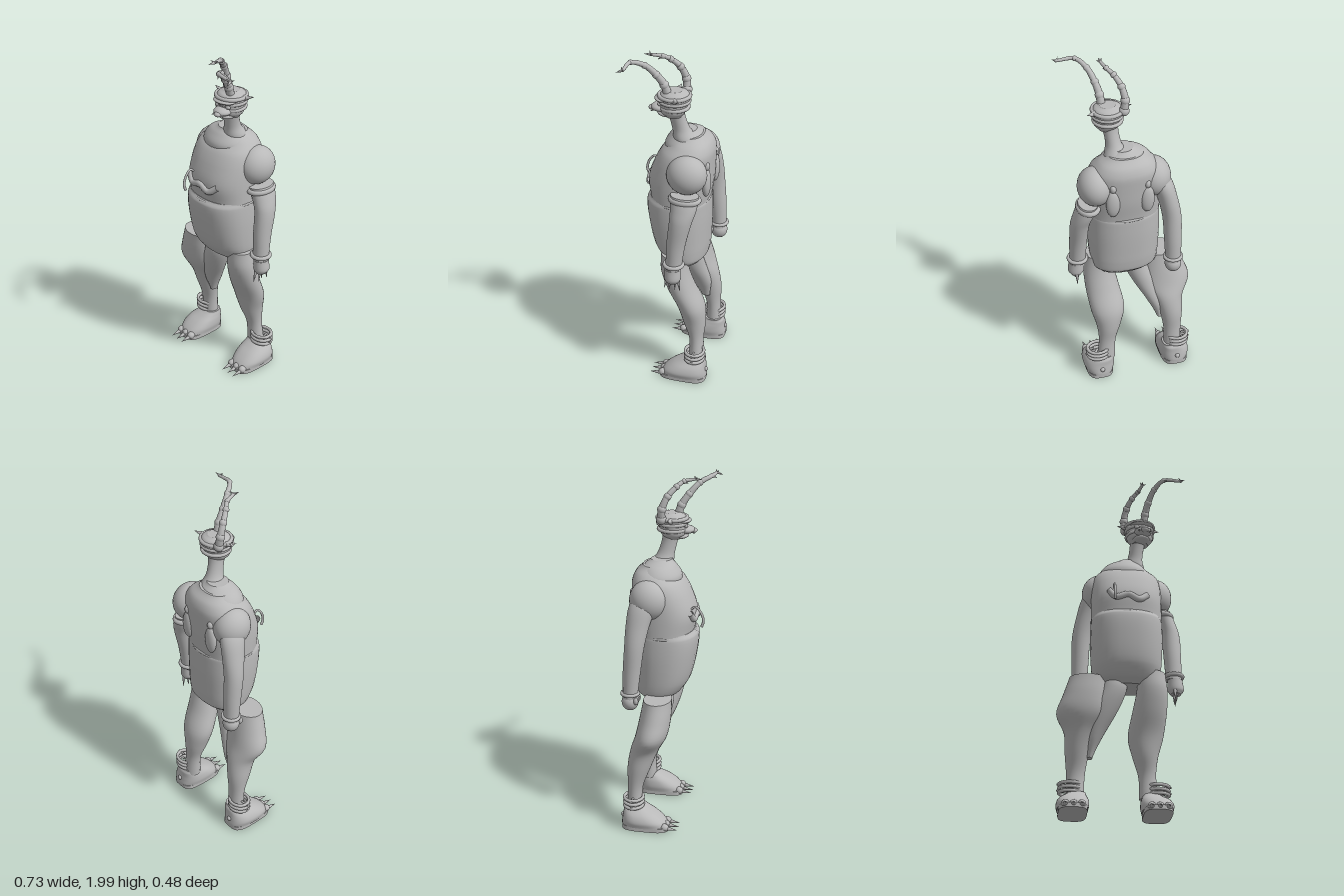
import * as THREE from 'three';

const grey = new THREE.MeshStandardMaterial({ color: 0xb9b9b9, side: THREE.DoubleSide });
grey.name = 'plainGrey';
const V = (p) => new THREE.Vector3(...p);

function add(parent, name, geo, pos = [0, 0, 0], scale = [1, 1, 1], rot = [0, 0, 0]) {
  const m = new THREE.Mesh(geo, grey);
  m.name = name;
  m.position.set(...pos);
  m.scale.set(...scale);
  m.rotation.set(...rot);
  parent.add(m);
  return m;
}
const ball = (parent, name, pos, scale) => add(parent, name, new THREE.SphereGeometry(1, 28, 18), pos, scale);
const ring = (parent, name, pos, rx, rz, t, tilt = 0) =>
  add(parent, name, new THREE.TorusGeometry(1, t / Math.max(rx, rz), 10, 32), pos, [rx, rz, Math.max(rx, rz)], [Math.PI / 2 + tilt, 0, 0]);

// Cone whose tip points along dir, starting at pos
function spike(parent, name, pos, dir, r, len) {
  const d = V(dir).normalize();
  const m = add(parent, name, new THREE.ConeGeometry(r, len, 10), V(pos).addScaledVector(d, len / 2).toArray());
  m.quaternion.setFromUnitVectors(new THREE.Vector3(0, 1, 0), d);
}

// Smooth stack of oval sections [x, y, z, rx, rz], listed from bottom to top, with flat caps
function loft(sections, square = 2, steps = 5, seg = 32) {
  const n = (sections.length - 1) * steps, pos = [], idx = [];
  const mid = new THREE.CatmullRomCurve3(sections.map((s) => V(s.slice(0, 3))), false, 'centripetal');
  const rad = new THREE.SplineCurve(sections.map((s) => new THREE.Vector2(s[3], s[4])));
  const pw = (c) => Math.sign(c) * Math.abs(c) ** (2 / square);
  const section = (i) => {
    const c = mid.getPoint(i / n), r = rad.getPoint(i / n);
    for (let j = 0; j < seg; j++) {
      const a = (j / seg) * Math.PI * 2;
      pos.push(c.x + r.x * pw(Math.cos(a)), c.y, c.z + r.y * pw(Math.sin(a)));
    }
    return c;
  };
  for (let i = 0; i <= n; i++) section(i);
  for (let i = 0; i < n; i++) for (let j = 0; j < seg; j++) {
    const a = i * seg + j, b = i * seg + ((j + 1) % seg);
    idx.push(a, a + seg, b, b, a + seg, b + seg);
  }
  for (const i of [0, n]) {
    const s = pos.length / 3, c = section(i);
    pos.push(c.x, c.y, c.z);
    for (let j = 0; j < seg; j++) {
      const k = s + ((j + 1) % seg);
      idx.push(s + seg, ...(i ? [k, s + j] : [s + j, k]));
    }
  }
  const g = new THREE.BufferGeometry();
  g.setAttribute('position', new THREE.Float32BufferAttribute(pos, 3));
  g.setIndex(idx);
  g.computeVertexNormals();
  return g;
}

// Tube along points whose radius runs from r0 to r1
function taper(points, r0, r1, n = 30, k = 12) {
  const curve = new THREE.CatmullRomCurve3(points.map(V));
  const g = new THREE.TubeGeometry(curve, n, 1, k);
  const p = g.attributes.position, v = new THREE.Vector3();
  for (let i = 0; i < p.count; i++) {
    const t = Math.floor(i / (k + 1)) / n, c = curve.getPointAt(t);
    v.fromBufferAttribute(p, i).sub(c).multiplyScalar(r0 + (r1 - r0) * t).add(c);
    p.setXYZ(i, v.x, v.y, v.z);
  }
  return g;
}

function buildTorso(g) {
  add(g, 'belly', loft([
    [0.03, 0.745, -0.075, 0.15, 0.09], [0.025, 0.775, -0.065, 0.185, 0.125], [0.023, 0.85, -0.045, 0.2, 0.155],
    [0.022, 1.0, -0.03, 0.208, 0.175], [0.022, 1.12, -0.025, 0.206, 0.18], [0.022, 1.15, -0.03, 0.2, 0.165]], 2.3));
  add(g, 'chest', loft([
    [0.022, 1.13, -0.035, 0.204, 0.165], [0.022, 1.25, -0.035, 0.205, 0.18], [0.022, 1.36, -0.055, 0.203, 0.165],
    [0.022, 1.43, -0.075, 0.19, 0.145], [0.022, 1.48, -0.09, 0.15, 0.11], [0.02, 1.52, -0.08, 0.1, 0.08]], 2.3));
  ring(g, 'waistSeam', [0.022, 1.135, -0.03], 0.2, 0.17, 0.008);
  // Draped collar around the neck
  add(g, 'collar', loft([
    [0.015, 1.43, -0.07, 0.15, 0.13], [0.015, 1.47, -0.07, 0.148, 0.125], [0.015, 1.515, -0.065, 0.11, 0.09],
    [0.03, 1.545, -0.06, 0.06, 0.06]]));
  add(g, 'neck', loft([
    [0.065, 1.5, -0.07, 0.07, 0.07], [0.075, 1.56, -0.045, 0.045, 0.05], [0.085, 1.63, -0.025, 0.042, 0.045],
    [0.095, 1.7, -0.01, 0.05, 0.05]]));
  // Raised chest marking and hook
  add(g, 'chestFold', taper([[-0.09, 1.27, 0.125], [-0.05, 1.225, 0.138], [0.02, 1.24, 0.143], [0.08, 1.215, 0.138], [0.13, 1.25, 0.115]], 0.018, 0.02));
  add(g, 'chestHook', taper([[-0.06, 1.285, 0.125], [-0.06, 1.3, 0.15], [-0.06, 1.27, 0.18], [-0.06, 1.22, 0.195], [-0.06, 1.185, 0.185]], 0.006, 0.008));
  // Pair of hanging pods on the back
  for (const x of [-0.075, 0.12]) {
    ball(g, 'backPod', [x, 1.27, -0.2], [0.04, 0.085, 0.025]);
    ball(g, 'backPodBead', [x, 1.37, -0.2], [0.018, 0.025, 0.02]);
  }
}

function buildArms(g) {
  const left = new THREE.Group(), right = new THREE.Group();
  left.name = 'leftArm';
  right.name = 'rightArm';
  g.add(left, right);
  // Left arm with clawed hand
  ball(left, 'shoulder', [0.2, 1.345, -0.11], [0.098, 0.112, 0.113]);
  ring(left, 'shoulderBand', [0.24, 1.215, -0.11], 0.058, 0.078, 0.016);
  add(left, 'arm', loft([
    [0.298, 0.8, -0.062, 0.046, 0.045], [0.294, 0.95, -0.075, 0.05, 0.053], [0.286, 1.1, -0.1, 0.054, 0.064],
    [0.265, 1.17, -0.11, 0.056, 0.074], [0.24, 1.24, -0.11, 0.055, 0.08]]));
  ring(left, 'bracelet', [0.298, 0.825, -0.063], 0.05, 0.05, 0.012);
  add(left, 'hand', loft([[0.308, 0.715, -0.06, 0.03, 0.035], [0.308, 0.74, -0.06, 0.046, 0.046], [0.305, 0.8, -0.06, 0.042, 0.045]]));
  for (let i = 0; i < 4; i++) spike(left, 'claw', [0.3 + 0.01 * (i % 2), 0.73, -0.025 - 0.023 * i], [0, -1, 0.25 - 0.12 * i], 0.011, 0.075);

  // Right arm, swung back, with rounded fist
  ball(right, 'shoulder', [-0.135, 1.35, -0.1], [0.098, 0.115, 0.11]);
  add(right, 'arm', loft([
    [-0.235, 0.8, -0.19, 0.045, 0.042], [-0.233, 0.95, -0.18, 0.05, 0.05], [-0.228, 1.1, -0.165, 0.054, 0.056],
    [-0.205, 1.22, -0.15, 0.056, 0.066], [-0.175, 1.32, -0.13, 0.06, 0.075], [-0.14, 1.4, -0.11, 0.05, 0.06]]));
  ring(right, 'bracelet', [-0.234, 0.825, -0.19], 0.048, 0.046, 0.01);
  ball(right, 'fist', [-0.235, 0.775, -0.19], [0.048, 0.052, 0.048]);
  for (let i = 0; i < 4; i++) ball(right, 'knuckle', [-0.268 + 0.022 * i, 0.79, -0.15], [0.012, 0.022, 0.014]);
}

function buildLegs(g) {
  add(g, 'leftLeg', loft([
    [0.162, 0.12, -0.165, 0.055, 0.045], [0.152, 0.25, -0.16, 0.05, 0.042], [0.14, 0.36, -0.145, 0.072, 0.066],
    [0.14, 0.47, -0.125, 0.1, 0.078], [0.158, 0.6, -0.07, 0.098, 0.08], [0.17, 0.72, -0.035, 0.088, 0.08],
    [0.165, 0.82, -0.03, 0.08, 0.075]]));
  // Right leg: slender inner thigh beside a flared, flat-topped outer leg
  add(g, 'rightThigh', loft([
    [-0.175, 0.34, -0.13, 0.015, 0.025], [-0.155, 0.45, -0.11, 0.045, 0.055], [-0.1, 0.6, -0.07, 0.075, 0.07],
    [-0.05, 0.72, -0.05, 0.075, 0.075], [-0.04, 0.8, -0.05, 0.07, 0.07]]));
  add(g, 'rightLeg', loft([
    [-0.25, 0.12, -0.165, 0.05, 0.045], [-0.25, 0.25, -0.16, 0.052, 0.043], [-0.245, 0.37, -0.14, 0.068, 0.066],
    [-0.232, 0.48, -0.11, 0.09, 0.08], [-0.228, 0.575, -0.07, 0.14, 0.09], [-0.21, 0.68, -0.05, 0.125, 0.088],
    [-0.193, 0.785, -0.04, 0.108, 0.08]]));
  for (const [side, x] of [[1, 0.2], [-1, -0.267]]) {
    const foot = new THREE.Group();
    foot.name = side > 0 ? 'leftFoot' : 'rightFoot';
    foot.position.x = x;
    g.add(foot);
    add(foot, 'sole', loft([[0, 0.005, -0.095, 0.08, 0.138], [0, 0.03, -0.095, 0.08, 0.138]], 3.5));
    add(foot, 'shoe', loft([
      [0, 0.028, -0.1, 0.086, 0.136], [0, 0.06, -0.11, 0.092, 0.123], [-0.005 * side, 0.095, -0.13, 0.084, 0.098],
      [-0.015 * side, 0.125, -0.155, 0.066, 0.07], [-0.025 * side, 0.145, -0.165, 0.052, 0.05]], 2.5));
    ball(foot, 'heelStud', [0, 0.07, -0.23], [0.014, 0.014, 0.014]);
    for (const i of [-1, 0, 1]) {
      ball(foot, 'toe', [i * 0.045, 0.03, 0.02], [0.022, 0.022, 0.025]);
      spike(foot, 'toeClaw', [i * 0.045, 0.025, 0.03], [0, -0.12, 1], 0.014, 0.07);
    }
    for (const y of [0.148, 0.172, 0.197]) ring(foot, 'ankleRing', [0.012 * side, y, -0.165], 0.062, 0.054, 0.01);
    for (const y of [0.16, 0.195]) add(foot, 'anklePeg', new THREE.CylinderGeometry(0.006, 0.006, 0.05, 10), [0.062 * side, y, -0.165], [1, 1, 1], [0, 0, Math.PI / 2]);
  }
}

function buildHead(g) {
  const head = new THREE.Group();
  head.name = 'head';
  head.position.set(0.1, 1.72, -0.01);
  head.rotation.y = 0.18;
  g.add(head);
  add(head, 'skull', loft([
    [0, -0.075, 0, 0.05, 0.045], [0, -0.045, 0.005, 0.074, 0.07], [0, 0, 0, 0.08, 0.08], [0, 0.04, -0.005, 0.086, 0.085],
    [0, 0.062, -0.005, 0.07, 0.07], [0, 0.075, -0.005, 0.045, 0.045]]));
  for (const [y, r] of [[-0.02, 0.076], [0.015, 0.08], [0.045, 0.084]]) ring(head, 'headBand', [0, y, -0.003], r, r, 0.011);
  // Jaw, muzzle and brow
  ball(head, 'jaw', [0, -0.058, 0.03], [0.052, 0.02, 0.06]);
  ball(head, 'muzzle', [0, -0.025, 0.075], [0.05, 0.024, 0.05]);
  ball(head, 'noseTip', [0, -0.03, 0.118], [0.022, 0.014, 0.02]);
  ball(head, 'brow', [0, 0.03, 0.06], [0.068, 0.014, 0.045]);
  for (const s of [-1, 1]) {
    ball(head, 'eye', [s * 0.035, 0.005, 0.074], [0.016, 0.012, 0.012]);
    spike(head, 'ear', [s * 0.075, 0.04, -0.01], [s, 0.25, -0.35], 0.018, 0.062);
    spike(head, 'tusk', [s * 0.03, -0.03, 0.1], [s * 0.2, -0.4, 1], 0.007, 0.03);
  }
}

function buildAntlers(g) {
  const antlers = [
    ['rightAntler', [[0.02, 1.77, -0.06], [0.012, 1.83, -0.055], [0.025, 1.9, -0.025], [0.055, 1.95, 0.02], [0.085, 1.975, 0.055], [0.105, 1.985, 0.115]], [0, 0, 1]],
    ['leftAntler', [[0.125, 1.77, 0.015], [0.13, 1.83, 0.035], [0.145, 1.89, 0.075], [0.175, 1.95, 0.13], [0.225, 1.98, 0.19], [0.325, 1.975, 0.2]], [0.25, -0.35, 0.9]],
  ];
  for (const [name, pts, tip] of antlers) {
    const a = new THREE.Group();
    a.name = name;
    g.add(a);
    add(a, 'beam', taper(pts, 0.024, 0.008));
    // Knots along the beam and small forks at the end
    pts.slice(0, -1).forEach((p, i) => ball(a, 'knot', p, Array(3).fill(0.029 - 0.0036 * i)));
    const end = pts[pts.length - 1], mid = pts[4];
    spike(a, 'tip', end, tip, 0.009, 0.042);
    spike(a, 'fork', end, [0.7, 0.4, -0.2], 0.007, 0.03);
    spike(a, 'fork', end, [-0.5, 0.5, 0.5], 0.007, 0.025);
    spike(a, 'sideTine', mid, [0.4, -0.4, 0.6], 0.009, 0.035);
  }
}

export function createModel() {
  const g = new THREE.Group();
  g.name = 'hornedFigure';
  buildTorso(g);
  buildArms(g);
  buildLegs(g);
  buildHead(g);
  buildAntlers(g);
  return g;
}
